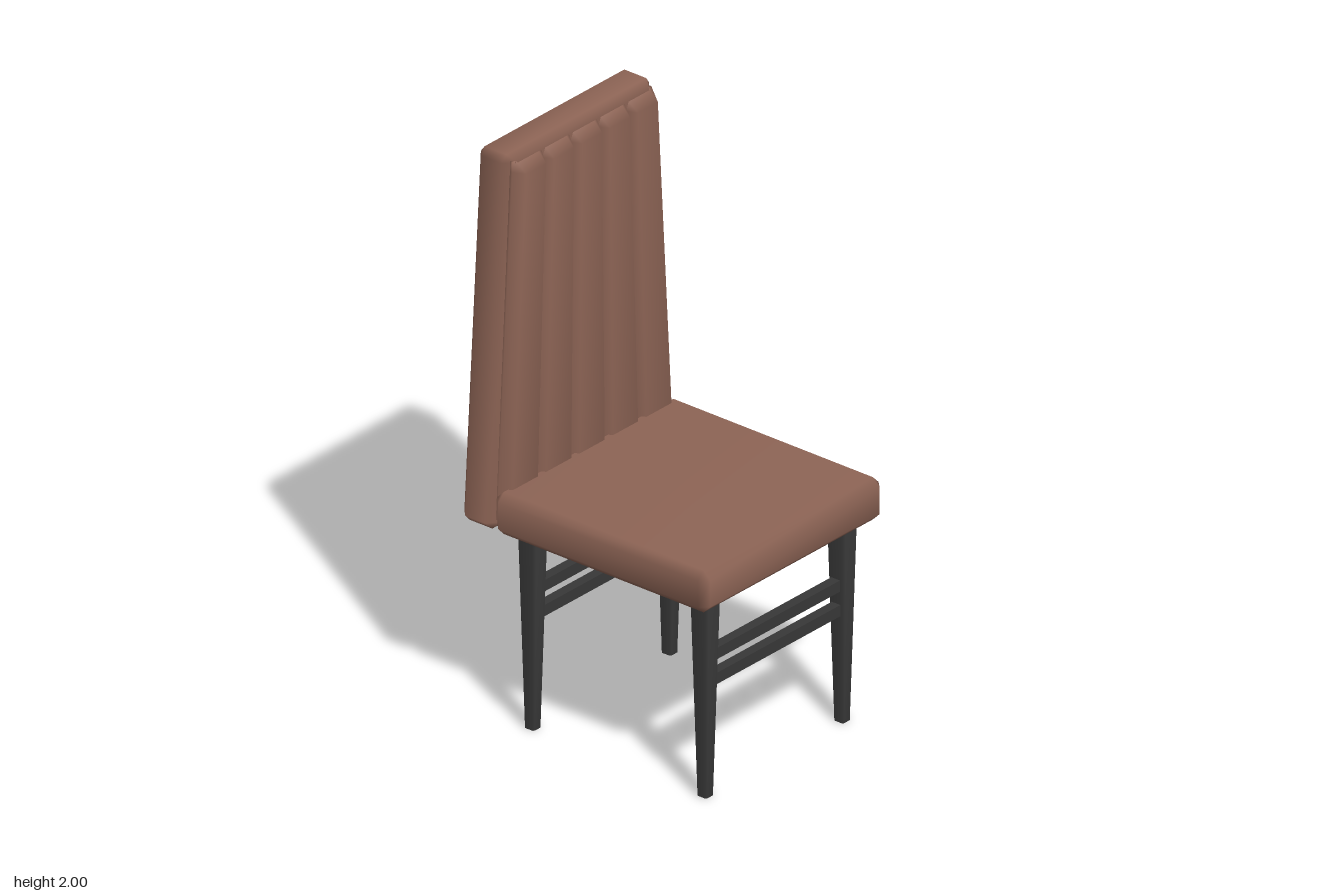
import * as THREE from 'three';
import { mergeVertices } from 'three/addons/utils/BufferGeometryUtils.js';

const upholstery = new THREE.MeshStandardMaterial({ color: 0x8d6455 });
upholstery.name = 'brownUpholstery';
const darkWood = new THREE.MeshStandardMaterial({ color: 0x383838 });
darkWood.name = 'darkWood';

// Closed solid through stacked cross-sections; each runs from +x towards +z.
function loft(rings) {
  const n = rings[0].length;
  const index = [];
  for (let r = 0; r < rings.length - 1; r++) {
    for (let k = 0; k < n; k++) {
      const a = r * n + k, b = r * n + (k + 1) % n;
      index.push(a, a + n, b, b, a + n, b + n);
    }
  }
  const top = (rings.length - 1) * n;
  for (let k = 1; k < n - 1; k++) {
    index.push(0, k, k + 1, top, top + k + 1, top + k);
  }
  let geometry = new THREE.BufferGeometry();
  geometry.setAttribute('position', new THREE.Float32BufferAttribute(rings.flat(2), 3));
  geometry.setIndex(index);
  geometry = mergeVertices(geometry, 1e-5);
  geometry.computeVertexNormals();
  return geometry;
}

// Rectangle with cut corners: half width w, back z0, front z1, back cut b, front cut [fx, fz].
function section(y, w, z0, z1, b, fx, fz = fx, cx = 0) {
  const half = [[w - b, z0], [w, z0 + b], [w, z1 - fz], [w - fx, z1]];
  const mirrored = half.map(([x, z]) => [-x, z]).reverse();
  return [...half, ...mirrored].map(([x, z]) => [cx + x, y, z]);
}

function add(group, name, geometry, material) {
  const mesh = new THREE.Mesh(geometry, material);
  mesh.name = name;
  group.add(mesh);
  return mesh;
}

// The backrest narrows towards the top.
const backWidth = (y) => THREE.MathUtils.mapLinear(y, 0.73, 1.97, 0.44, 0.36);

export function createModel() {
  const chair = new THREE.Group();
  chair.name = 'diningChair';

  // Seat cushion with chamfered edges
  const c = 0.028;
  add(chair, 'seat', loft([
    section(0.70, 0.44 - c, -0.372 + c, 0.505 - c, 0, 0),
    section(0.70 + c, 0.44, -0.372, 0.505, c, c),
    section(0.85 - c, 0.44, -0.372, 0.505, c, c),
    section(0.85, 0.44 - c, -0.372 + c, 0.505 - c, 0, 0),
  ]), upholstery);

  // Backrest body
  const backrest = new THREE.Group();
  backrest.name = 'backrest';
  chair.add(backrest);
  add(backrest, 'backPanel', loft([
    section(0.705, 0.415, -0.485, -0.39, 0, 0),
    section(0.73, backWidth(0.73), -0.505, -0.365, 0.025, 0.04, 0.035),
    section(1.975, backWidth(1.975), -0.505, -0.365, 0.025, 0.04, 0.035),
    section(2.0, 0.34, -0.485, -0.395, 0, 0),
  ]), upholstery);

  // Five vertical channels on the front of the backrest
  for (let i = 0; i < 5; i++) {
    const ring = (y, front, inset) => {
      const w = backWidth(y) * 0.94;
      const x0 = w * (i * 0.4 - 1), x1 = w * (i * 0.4 - 0.6);
      return [
        [x1, y, -0.385], [x1, y, -0.372], [x1 - inset, y, front],
        [x0 + inset, y, front], [x0, y, -0.372], [x0, y, -0.385],
      ];
    };
    add(backrest, `backChannel${i + 1}`, loft([
      ring(0.74, -0.33, 0.02),
      ring(1.945, -0.33, 0.02),
      ring(1.98, -0.371, 0.015),
    ]), upholstery);
  }

  // Tapered legs with trimmed corners, and a pair of rungs front and back
  for (const [label, z] of [['front', 0.417], ['back', -0.293]]) {
    for (const [side, x] of [['Left', 0.333], ['Right', -0.333]]) {
      const leg = loft([
        section(0, 0.019, -0.02, 0.02, 0.005, 0.005),
        section(0.71, 0.036, -0.038, 0.038, 0.009, 0.009),
      ]);
      add(chair, `${label}${side}Leg`, leg, darkWood).position.set(x, 0, z);
    }
    for (const [level, y] of [['Lower', 0.405], ['Upper', 0.493]]) {
      const rung = new THREE.BoxGeometry(0.64, 0.04, 0.035);
      add(chair, `${label}${level}Rung`, rung, darkWood).position.set(0, y, z);
    }
  }

  return chair;
}
